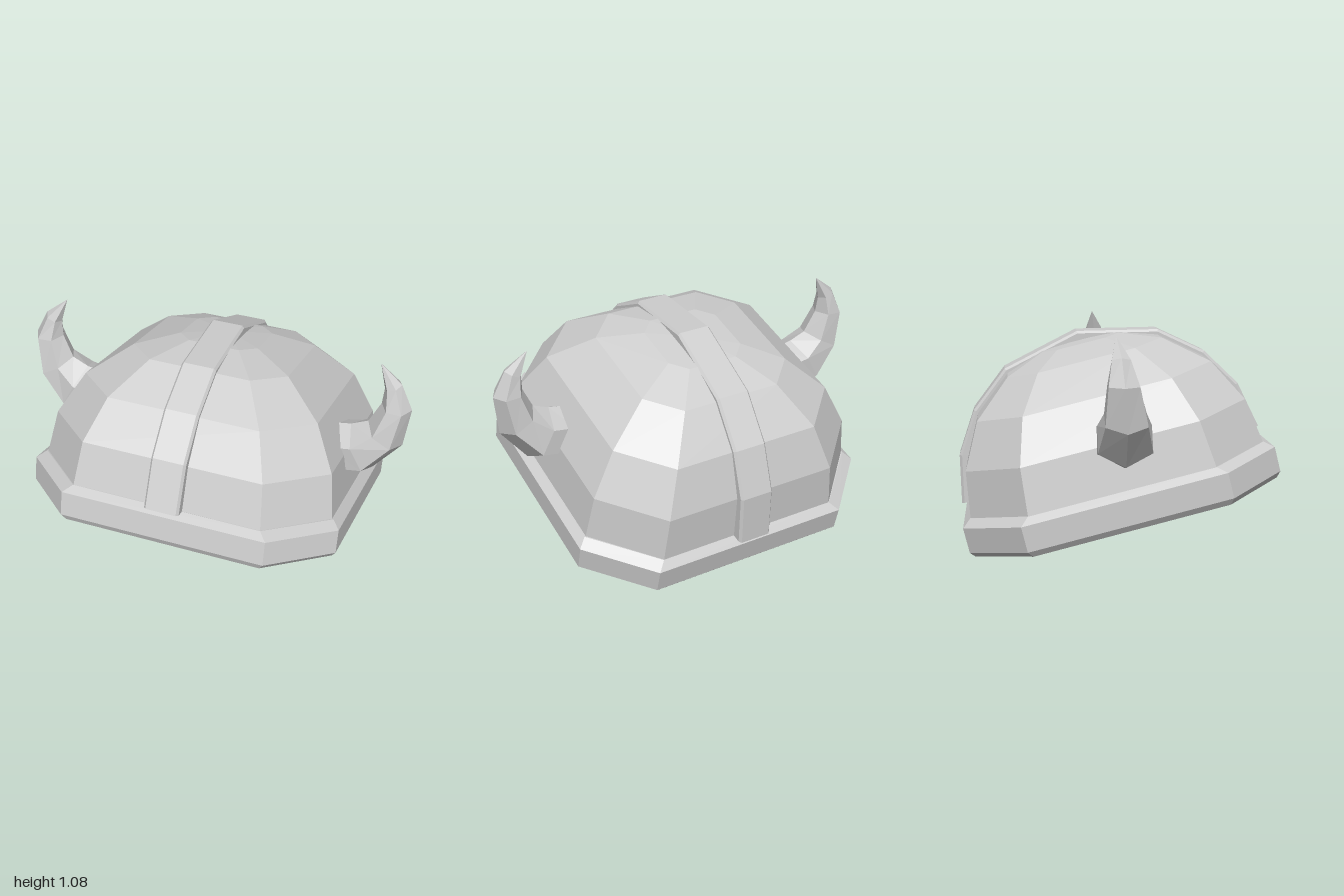
import * as THREE from 'three';

const steel = new THREE.MeshStandardMaterial({ color: 0xcccccc, flatShading: true });
steel.name = 'steel grey';

// Skin a list of equally sized rings and close both ends (faceted).
function loft(rings) {
  const pos = [];
  const tri = (...points) => points.forEach((p) => pos.push(...p));
  const n = rings[0].length;
  for (let i = 0; i < rings.length - 1; i++) {
    for (let j = 0; j < n; j++) {
      const k = (j + 1) % n;
      const [a, b, c, d] = [rings[i][j], rings[i][k], rings[i + 1][k], rings[i + 1][j]];
      tri(a, b, c);
      tri(a, c, d);
    }
  }
  const first = rings[0], last = rings[rings.length - 1];
  for (let j = 1; j < n - 1; j++) {
    tri(first[0], first[j + 1], first[j]);
    tri(last[0], last[j], last[j + 1]);
  }
  const geometry = new THREE.BufferGeometry();
  geometry.setAttribute('position', new THREE.Float32BufferAttribute(pos, 3));
  geometry.computeVertexNormals();
  return geometry;
}

function part(name, rings) {
  const mesh = new THREE.Mesh(loft(rings), steel);
  mesh.name = name;
  return mesh;
}

// Rectangle with cut corners: half sizes x, z and the corner positions cx, cz.
const octagon = (x, z, cx, cz, y) => [
  [x, y, cz], [x, y, -cz], [cx, y, -z], [-cx, y, -z],
  [-x, y, -cz], [-x, y, cz], [-cx, y, z], [cx, y, z],
];

// Hexagonal horn swept along a bent path: x, y, z, radius.
function hornRings() {
  const path = [
    [0.64, 0.585, 0.005, 0.13], [0.775, 0.61, 0.005, 0.135], [0.885, 0.715, 0, 0.103],
    [0.925, 0.875, -0.015, 0.075], [0.897, 0.98, -0.025, 0.045], [0.825, 1.085, -0.04, 0.001],
  ];
  return path.map(([x, y, z, r], i) => {
    const a = path[Math.max(i - 1, 0)], b = path[Math.min(i + 1, path.length - 1)];
    const length = Math.hypot(b[0] - a[0], b[1] - a[1]);
    const tx = (b[0] - a[0]) / length, ty = (b[1] - a[1]) / length;
    return Array.from({ length: 6 }, (_, j) => {
      const angle = (j * Math.PI) / 3, c = r * Math.cos(angle);
      return [x + c * ty, y - c * tx, z - 1.08 * r * Math.sin(angle)];
    });
  });
}

export function createModel() {
  const model = new THREE.Group();
  model.name = 'hornedHelmet';

  // Helmet body leans back
  const body = new THREE.Group();
  body.name = 'helmetBody';
  body.position.set(0, 0.185, 0.04);
  body.rotation.x = -0.245;
  model.add(body);

  // Bevelled rim with a closed underside
  body.add(part('rim', [
    octagon(0.78, 0.752, 0.5, 0.47, 0),
    octagon(0.8, 0.772, 0.52, 0.49, 0.03),
    octagon(0.8, 0.772, 0.52, 0.49, 0.153),
    octagon(0.76, 0.73, 0.48, 0.45, 0.184),
  ]));

  // Faceted dome: ring scale and height
  const levels = [[1, 0.17], [0.95, 0.405], [0.8, 0.615], [0.535, 0.772], [0.27, 0.835], [0.001, 0.85]];
  body.add(part('dome', levels.map(([s, y]) =>
    octagon(0.755 * s, 0.73 * s, 0.48 * s, 0.45 * s, y))));

  // Bevelled band over the crown, front to back
  const half = [[0.785, 0.183], [0.732, 0.428], [0.603, 0.632], [0.4, 0.797]];
  const crest = [...half, [0, 0.89], ...half.map(([z, y]) => [-z, y]).reverse()];
  const section = [[-0.088, 0.92], [-0.088, 0.983], [-0.077, 1], [0.077, 1], [0.088, 0.983], [0.088, 0.92]];
  body.add(part('crownBand', crest.map(([z, y]) =>
    section.map(([x, s]) => [x, 0.18 + (y - 0.18) * s, z * s]))));

  // Mirrored pair of horns
  const rings = hornRings();
  model.add(part('leftHorn', rings));
  model.add(part('rightHorn', rings.map((ring) =>
    ring.map(([x, y, z]) => [-x, y, z]).reverse())));

  return model;
}
